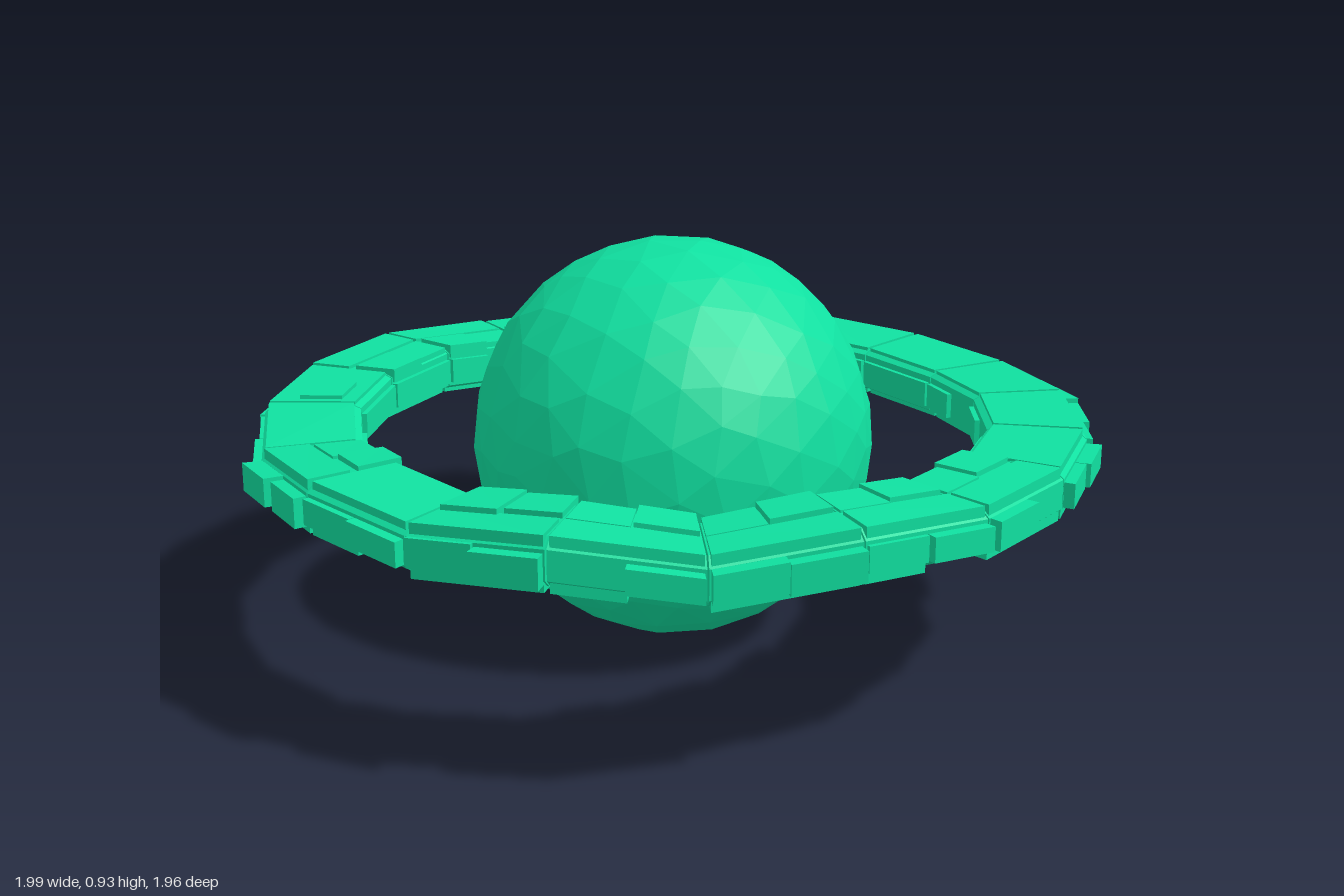
import * as THREE from 'three';

const material = new THREE.MeshStandardMaterial({ color: 0x10e0a0, flatShading: true, side: THREE.DoubleSide });
const N = 19, START = 4;

// mid height of the ring at each of its corners, starting at +x and turning towards +z
const LEVEL = [0.485, 0.485, 0.49, 0.49, 0.505, 0.475, 0.505, 0.485, 0.50, 0.48,
  0.495, 0.50, 0.505, 0.485, 0.49, 0.495, 0.49, 0.48, 0.475];

// point on the faceted ring: u in corner steps, r at the corners, h above the mid height
function ringPoint(u, r, h) {
  const i = Math.floor(u);
  const corner = (k) => {
    const a = THREE.MathUtils.degToRad(START + (k * 360) / N);
    return new THREE.Vector3(r * Math.cos(a), LEVEL[k % N] + h, r * Math.sin(a));
  };
  return corner(i).lerp(corner(i + 1), u - i);
}

// block swept from u0 to u1 with a cross-section of [r, h] points
function ringBlock(name, u0, u1, section) {
  const n = section.length, pos = [], index = [];
  for (const u of [u0, u1]) for (const [r, h] of section) pos.push(...ringPoint(u, r, h).toArray());
  for (let i = 0; i < n; i++) {
    const j = (i + 1) % n;
    index.push(i, n + i, j, j, n + i, n + j);
  }
  for (let i = 1; i < n - 1; i++) index.push(0, i, i + 1, n, n + i + 1, n + i);
  const g = new THREE.BufferGeometry();
  g.setAttribute('position', new THREE.Float32BufferAttribute(pos, 3));
  g.setIndex(index);
  const flat = g.toNonIndexed();
  flat.computeVertexNormals();
  const mesh = new THREE.Mesh(flat, material);
  mesh.name = name;
  return mesh;
}

const slab = (r0, r1, h0, h1) => [[r0, h0], [r0, h1], [r1, h1], [r1, h0]];

// unevenly faceted ball
function makePlanet() {
  const g = new THREE.IcosahedronGeometry(1, 4);
  const p = g.attributes.position, v = new THREE.Vector3();
  for (let i = 0; i < p.count; i++) {
    v.fromBufferAttribute(p, i);
    const { x, y, z } = v;
    v.x += 0.035 * Math.sin(13 * y + 9 * z);
    v.y += 0.035 * Math.sin(11 * z + 8 * x + 1);
    v.z += 0.035 * Math.sin(12 * x + 10 * y + 2);
    v.setLength(0.468);
    p.setXYZ(i, v.x, v.y, v.z);
  }
  g.computeVertexNormals();
  const planet = new THREE.Mesh(g, material);
  planet.name = 'planet';
  planet.position.set(0.005, 0.47, -0.015);
  return planet;
}

// outer radius of the rim plate on the first and second half of each segment, 0 for none
const RIM_FIRST = [0.99, 0.99, 0, 0.98, 0.985, 0.985, 0.985, 0.98, 0.985, 0.975,
  0.97, 0.97, 0.97, 0, 0, 0, 0.98, 0.99, 0.995];
const RIM_SECOND = [0.97, 0.98, 0.985, 0.965, 0.99, 0, 0.965, 0.97, 1, 0.965,
  0.97, 0.97, 0.97, 0.985, 0.995, 0.975, 0, 0.99, 0.995];

// segments whose top is split into an inner and an outer row of plates
const SPLIT = [2, 3, 4, 5, 6, 8, 11, 12];

function makeRing() {
  const ring = new THREE.Group();
  ring.name = 'ring';
  const add = (name, u0, u1, ...section) => ring.add(ringBlock(name, u0, u1, slab(...section)));

  // bevelled cross-section of the main segments
  const core = [[0.73, -0.045], [0.73, 0.04], [0.75, 0.05], [0.93, 0.05],
    [0.955, 0.03], [0.955, -0.035], [0.93, -0.055], [0.75, -0.055]];

  for (let i = 0; i < N; i++) {
    const a = i + 0.02, mid = i + 0.5, b = i + 0.98;
    const odd = i % 2;
    ring.add(ringBlock('ringSegment', i + 0.006, i + 0.994, core));

    // rim plates at staggered heights
    if (RIM_FIRST[i]) add('rimPlate', a, mid, 0.9, RIM_FIRST[i], -0.045 + 0.012 * odd, 0.022);
    if (RIM_SECOND[i]) add('rimPlate', mid + 0.01, b, 0.9, RIM_SECOND[i], -0.035, 0.03 - 0.008 * odd);

    // upper plates
    if (SPLIT.includes(i)) {
      add('upperPlate', a, mid, 0.725, 0.83, 0.03, 0.062);
      add('upperPlate', mid + 0.02, b, 0.735, 0.84, 0.03, 0.056);
      add('upperPlate', a, b, 0.85, 0.95, 0.03, 0.058);
    } else {
      add('upperPlate', a, b, 0.745, 0.945, 0.03, 0.056);
    }

    // inner and lower plates
    add('innerPlate', a, i % 3 ? b : mid, 0.718, 0.75, -0.035, 0.025);
    add('lowerPlate', a, b, 0.75, 0.835, -0.065, -0.03);
    add('lowerPlate', odd ? mid : a, b, 0.845, 0.95, -0.062, -0.03);
  }

  // single raised patches on the top
  add('raisedPatch', 6.5, 6.96, 0.73, 0.86, 0.03, 0.07);
  add('raisedPatch', 10.08, 10.5, 0.78, 0.88, 0.03, 0.065);
  add('raisedPatch', 13.02, 13.5, 0.74, 0.84, 0.03, 0.064);
  return ring;
}

export function createModel() {
  const model = new THREE.Group();
  model.name = 'ringedPlanet';
  model.add(makePlanet(), makeRing());
  return model;
}
